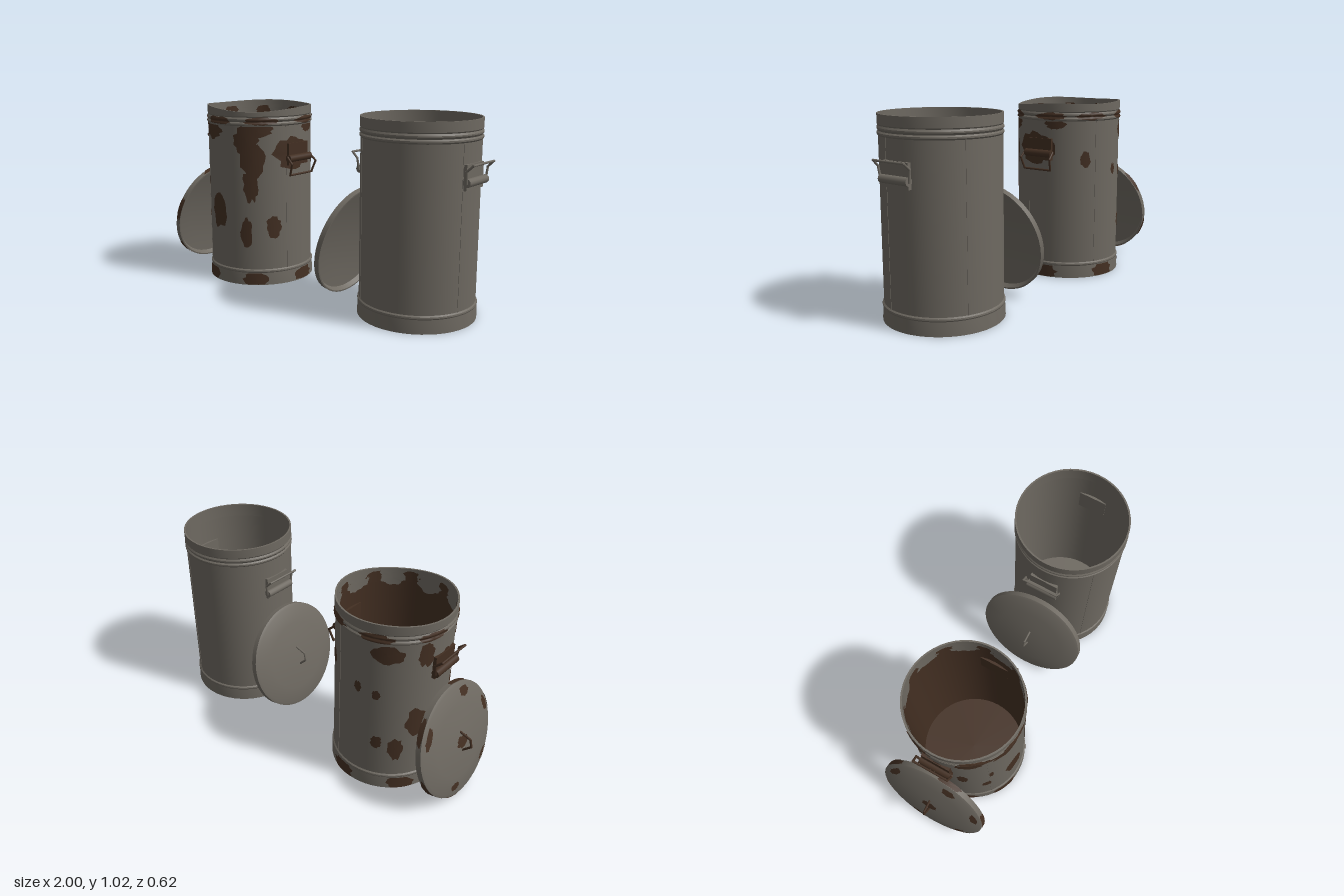
import * as THREE from 'three';
import { toCreasedNormals } from 'three/addons/utils/BufferGeometryUtils.js';

const V = (x, y, z) => new THREE.Vector3(x, y, z);

function createMaterial(name, color) {
  const m = new THREE.MeshStandardMaterial({ color, side: THREE.DoubleSide });
  m.name = name;
  return m;
}

// Can outline, [radius, height], from the foot to the rim
const OUTER = [
  [0.308, 0], [0.305, 0.072], [0.308, 0.078], [0.307, 0.086], [0.3, 0.092], [0.3, 0.918],
  [0.306, 0.925], [0.306, 0.933], [0.299, 0.94], [0.306, 0.95], [0.306, 0.957], [0.3, 0.966],
  [0.304, 0.972], [0.304, 1.022],
];
const INNER_R = 0.295;

const LID = [
  [0.302, 0], [0.31, 0], [0.31, 0.03], [0.295, 0.037], [0.2, 0.052], [0.1, 0.061], [0, 0.065],
];

function radiusAt(y, profile = OUTER) {
  for (let i = 1; i < profile.length; i++) {
    const [r0, y0] = profile[i - 1], [r1, y1] = profile[i];
    if (y <= y1) return r0 + (r1 - r0) * (y - y0) / (y1 - y0);
  }
  return profile[profile.length - 1][0];
}

export function createModel() {
  const metal = createMaterial('dull grey metal', 0x6e6961);
  const rust = createMaterial('brown rust', 0x432f22);

  let seed = 7;
  const rand = () => (seed = (seed * 16807) % 2147483647) / 2147483647;

  function add(parent, name, geometry, material) {
    const mesh = new THREE.Mesh(geometry, material);
    mesh.name = name;
    parent.add(mesh);
    return mesh;
  }

  // Revolved shell with sharp profile corners; dented lowers the rim unevenly
  function lathe(points, dented = false) {
    const g = new THREE.LatheGeometry(points.map(([r, y]) => new THREE.Vector2(r, y)), 48);
    const p = g.attributes.position;
    for (let i = 0; dented && i < p.count; i++) {
      if (p.getY(i) < 1) continue;
      const a = Math.atan2(p.getX(i), p.getZ(i));
      p.setY(i, p.getY(i) - 0.018 * Math.max(0, Math.cos(a - 0.7)) ** 2 - 0.004 * (1 + Math.sin(a * 3)));
    }
    return toCreasedNormals(g, 0.5);
  }

  // Straight round bars through a list of points
  function rods(parent, name, points, radius, material, closed = false) {
    const bars = new THREE.Group();
    bars.name = name;
    const n = closed ? points.length : points.length - 1;
    for (let i = 0; i < n; i++) {
      const a = points[i], d = points[(i + 1) % points.length].clone().sub(a);
      const bar = add(bars, name + 'Bar', new THREE.CylinderGeometry(radius, radius, d.length() + radius, 8), material);
      bar.position.copy(a).addScaledVector(d, 0.5);
      bar.quaternion.setFromUnitVectors(V(0, 1, 0), d.normalize());
    }
    parent.add(bars);
  }

  // Ragged thin patch laid on a surface; place maps (u, v) to a point
  function patch(parent, name, w, h, material, place) {
    const n = 22, rings = 4, pos = [], index = [];
    const edge = Array.from({ length: n }, () => 0.82 + 0.36 * rand());
    for (let k = 0; k <= rings; k++) {
      for (let i = 0; i < n; i++) {
        const t = i / n * Math.PI * 2, s = k / rings * edge[i];
        pos.push(...place(Math.cos(t) * s * w, Math.sin(t) * s * h).toArray());
        if (k === rings) continue;
        const a = k * n + i, b = k * n + (i + 1) % n;
        index.push(a, a + n, b, b, a + n, b + n);
      }
    }
    const g = new THREE.BufferGeometry();
    g.setAttribute('position', new THREE.Float32BufferAttribute(pos, 3));
    g.setIndex(index);
    g.computeVertexNormals();
    add(parent, name, g, material);
  }

  const onWall = (angle, y, low, high, inside) => (u, v) => {
    const yy = Math.min(high, Math.max(low, y + v));
    const r = inside ? INNER_R - 0.003 : radiusAt(yy) + 0.003;
    const a = angle + u / r;
    return V(Math.sin(a) * r, yy, Math.cos(a) * r);
  };

  // Side handle on +x: mounting plate, curled hinge and swinging bail
  function handle(parent, name, turn, hanging, material) {
    const g = new THREE.Group();
    g.name = name;
    g.rotation.y = turn;
    add(g, 'handlePlate', new THREE.BoxGeometry(0.026, 0.125, 0.16), material).position.set(0.294, 0.755, 0);
    const hinge = add(g, 'handleHinge', new THREE.CylinderGeometry(0.021, 0.021, 0.18, 12), material);
    hinge.rotation.x = Math.PI / 2;
    hinge.position.set(0.313, 0.732, 0);
    const side = hanging
      ? [[0.312, 0.74, 0.095], [0.35, 0.705, 0.1], [0.326, 0.64, 0.09]]
      : [[0.314, 0.73, 0.092], [0.318, 0.79, 0.102], [0.35, 0.82, 0.098]];
    const near = side.map(p => V(...p));
    const far = side.map(([x, y, z]) => V(x, y, -z)).reverse();
    rods(g, 'handleBail', [...near, ...far], 0.006, material, true);
    parent.add(g);
  }

  // Domed lid leaning against the -x side of its can
  function leaningLid(parent, rusty) {
    const lid = new THREE.Group();
    lid.name = 'leaningLid';
    lid.position.set(-0.395, 0.313, 0);
    lid.rotation.z = 1.325;
    add(lid, 'lidShell', lathe(LID), metal);
    add(lid, 'lidUnderside', lathe([[0, 0.052], [0.2, 0.04], [0.29, 0.025], [0.302, 0]]), metal);
    rods(lid, 'lidHandle', [V(0.056, 0.06, 0), V(0.022, 0.117, 0), V(-0.022, 0.117, 0), V(-0.056, 0.06, 0)],
      0.006, rusty ? rust : metal);
    if (rusty) {
      // [angle, distance from centre, half width, half length]
      const dome = [[0, 0, 0.035, 0.045], [1.2, 0.26, 0.04, 0.025], [2.6, 0.27, 0.06, 0.02],
        [0.3, 0.27, 0.05, 0.02], [-1.9, 0.25, 0.03, 0.025], [-0.8, 0.27, 0.04, 0.015]];
      for (const [a, d, w, h] of dome) {
        patch(lid, 'lidRustPatch', w, h, rust, (u, v) => {
          const x = Math.sin(a) * (d + v) + Math.cos(a) * u, z = Math.cos(a) * (d + v) - Math.sin(a) * u;
          const r = Math.min(0.306, Math.hypot(x, z)), q = r / Math.max(1e-6, Math.hypot(x, z));
          return V(x * q, 0.0685 - 0.35 * r * r + (r > 0.2 ? 0.001 : 0), z * q);
        });
      }
      for (const a of [0.2, 1.3, 2.5, 3.6, 4.4, 5.5]) {
        patch(lid, 'lidEdgeRust', 0.07, 0.02, rust, (u, v) => {
          const b = a + u / 0.31;
          return V(Math.sin(b) * 0.3125, Math.min(0.03, Math.max(0, 0.015 + v)), Math.cos(b) * 0.3125);
        });
      }
    }
    parent.add(lid);
  }

  function createCan(name, x, rusty) {
    const can = new THREE.Group();
    can.name = name;
    can.position.x = x;
    add(can, 'canShell', lathe([[0, 0], ...OUTER, [INNER_R, 1.022]], rusty), metal);
    // Inner wall, split so that the rim band stays bare metal
    add(can, 'innerRim', lathe([[INNER_R, 1.022], [INNER_R, 0.95]], rusty), metal);
    add(can, 'innerWall', lathe([[INNER_R, 0.95], [INNER_R, 0.02], [0, 0.02]]), rusty ? rust : metal);
    // Upright sheet seams
    for (const a of [-0.68, 1.3, 2.7]) {
      const seam = add(can, 'wallSeam', new THREE.BoxGeometry(0.006, 0.826, 0.004), metal);
      seam.position.set(Math.sin(a) * 0.3, 0.505, Math.cos(a) * 0.3);
      seam.rotation.y = a;
    }
    handle(can, 'leftHandle', 0, rusty, rusty ? rust : metal);
    handle(can, 'rightHandle', Math.PI, false, rusty ? rust : metal);
    leaningLid(can, rusty);
    return can;
  }

  const model = new THREE.Group();
  model.name = 'trashCans';
  const rustyCan = createCan('rustyCan', -0.49, true);
  model.add(rustyCan, createCan('cleanCan', 0.637, false));

  // Wall rust: [angle, height, half width, half height]
  const wallRust = [
    [-0.13, 0.42, 0.06, 0.1], [-0.98, 0.885, 0.07, 0.05], [-0.3, 0.88, 0.085, 0.045], [-0.65, 0.905, 0.09, 0.02],
    [0.52, 0.84, 0.07, 0.08], [0.75, 0.89, 0.08, 0.04], [0.64, 0.72, 0.07, 0.1], [0.6, 0.59, 0.045, 0.1],
    [0.5, 0.31, 0.035, 0.08], [1.02, 0.34, 0.045, 0.06], [-0.64, 0.57, 0.013, 0.05], [-0.75, 0.36, 0.03, 0.045],
    [-1.15, 0.56, 0.03, 0.07], [1.45, 0.76, 0.12, 0.09], [-2.77, 0.61, 0.02, 0.03], [-2.63, 0.86, 0.08, 0.05],
    [-1.98, 0.85, 0.045, 0.07], [-2.08, 0.44, 0.055, 0.085], [-2.4, 0.27, 0.04, 0.07], [-2.73, 0.31, 0.03, 0.04],
    [2.48, 0.7, 0.03, 0.05], [3.18, 0.63, 0.02, 0.03], [1.9, 0.9, 0.06, 0.03], [-1.6, 0.76, 0.08, 0.07],
    [-1.7, 0.4, 0.05, 0.08],
  ];
  for (const [a, y, w, h] of wallRust) patch(rustyCan, 'wallRust', w, h, rust, onWall(a, y, 0.095, 0.916));

  // Rust on the foot and on the beads under the rim
  for (const a of [0.68, -0.4, -1.2, -2.27, 1.7, 2.9]) {
    patch(rustyCan, 'footRust', 0.075, 0.045, rust, onWall(a, 0.035, 0.003, 0.07));
  }
  for (const a of [-0.9, -0.1, 0.8, 1.8, 2.6, -2.8, -1.9]) {
    patch(rustyCan, 'rimRust', 0.09, 0.022, rust, onWall(a, 0.945, 0.922, 0.97));
  }
  // Ragged boundary between bare metal and rust inside the can
  for (let i = 0; i < 9; i++) {
    const a = i * 0.7;
    patch(rustyCan, 'innerBareMetal', 0.07, 0.03 + 0.03 * rand(), metal, onWall(a, 0.94, 0.8, 0.975, true));
    patch(rustyCan, 'innerRimRust', 0.045, 0.035, rust, onWall(a + 0.35, 0.955, 0.9, 0.985, true));
  }
  return model;
}
